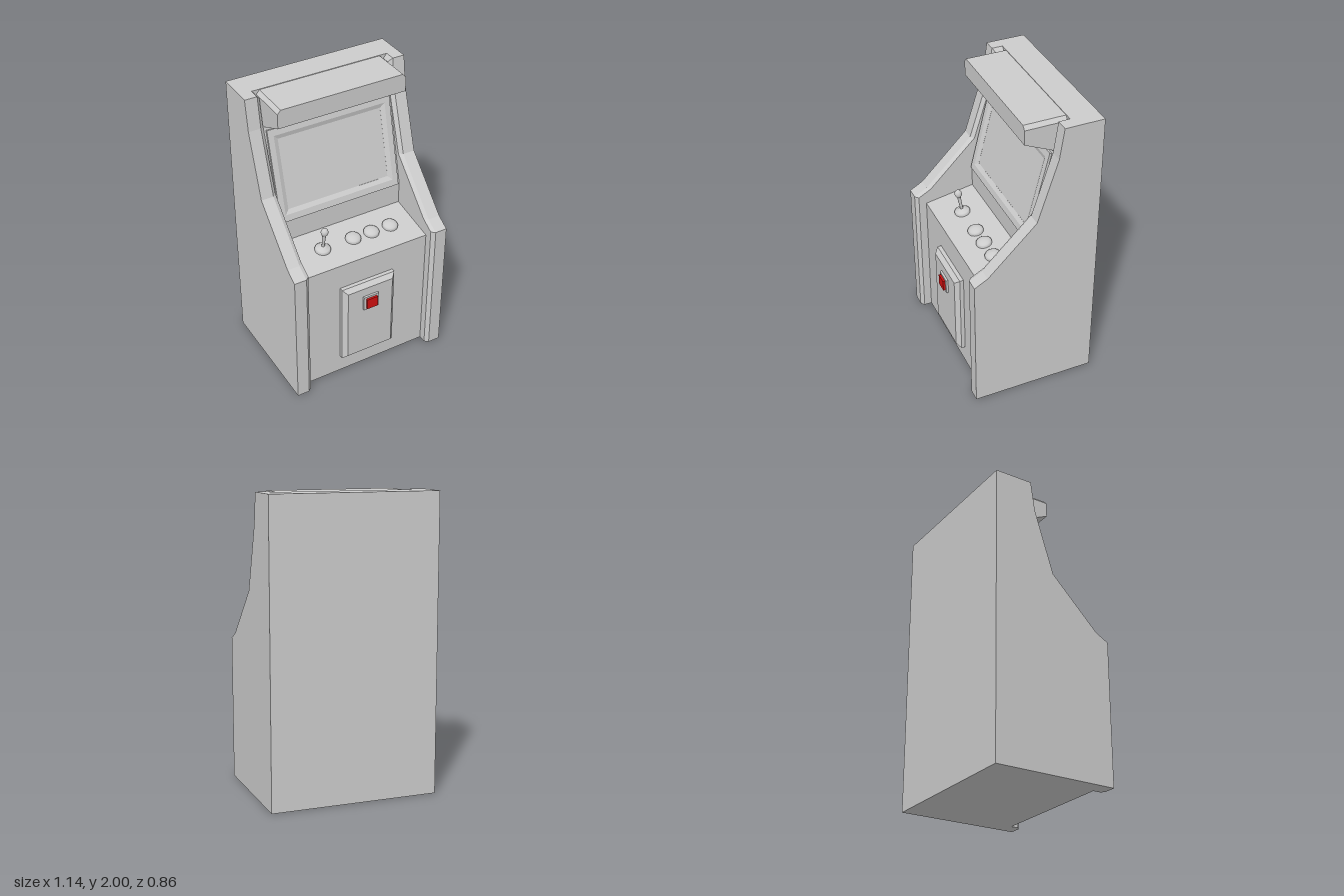
import * as THREE from 'three';

const grey = new THREE.MeshStandardMaterial({ color: 0xcccccc });
const red = new THREE.MeshStandardMaterial({ color: 0xd01010 });

function add(parent, name, geometry, x = 0, y = 0, z = 0, material = grey) {
  const mesh = new THREE.Mesh(geometry, material);
  mesh.name = name;
  mesh.position.set(x, y, z);
  parent.add(mesh);
  return mesh;
}

const polygon = (points) => new THREE.Shape(points.map(([a, b]) => new THREE.Vector2(a, b)));
const rectangle = (hw, hh) => polygon([[-hw, -hh], [hw, -hh], [hw, hh], [-hw, hh]]);

// Extrudes a (z, y) profile across the width, starting at x = right and going to -x
function acrossWidth(profile, right, width, steps = 1) {
  const g = new THREE.ExtrudeGeometry(polygon(profile), { depth: width, steps, bevelEnabled: false });
  return g.rotateY(-Math.PI / 2).translate(right, 0, 0);
}

// Moves every vertex by a rule and restores flat normals
function reshape(g, rule) {
  const p = g.attributes.position;
  const v = new THREE.Vector3();
  for (let i = 0; i < p.count; i++) {
    v.fromBufferAttribute(p, i);
    rule(v);
    p.setXYZ(i, v.x, v.y, v.z);
  }
  g.computeVertexNormals();
  return g;
}

// Side panel with a chamfer along its inner front edge
function sidePanelGeometry() {
  const profile = [[-0.43, 0], [0.42, 0], [0.42, 0.98], [0.33, 1.03], [0, 1.36],
    [-0.135, 1.79], [-0.165, 2], [-0.43, 2]];
  return reshape(acrossWidth(profile, 0.57, 0.11, 2), (v) => {
    if (v.x < 0.47) {
      if (v.z > -0.4) v.z -= 0.022;
      if (v.y > 1.99) v.y -= 0.03;
    } else if (v.x < 0.56) v.x = 0.485;
  });
}

// Screen frame: straight outer sides, opening sloping in towards the glass
function bezelGeometry() {
  const hw = 0.445, hh = 0.319;
  const shape = rectangle(hw, hh);
  shape.holes.push(rectangle(0.405, 0.273));
  const g = new THREE.ExtrudeGeometry(shape, {
    depth: 0.03, bevelSize: 0.03, bevelThickness: 0.014, bevelSegments: 1,
  });
  return reshape(g, (v) => {
    v.x = THREE.MathUtils.clamp(v.x, -hw, hw);
    v.y = THREE.MathUtils.clamp(v.y, -hh, hh);
  });
}

// Marquee: chamfered top corners and an underside rising to the front
function marqueeGeometry() {
  const shape = polygon([[-0.455, 1.77], [0.455, 1.77], [0.455, 1.97], [0.432, 1.996],
    [-0.432, 1.996], [-0.455, 1.97]]);
  const g = new THREE.ExtrudeGeometry(shape, { depth: 0.28, steps: 2, bevelEnabled: false });
  return reshape(g.translate(0, 0, -0.24), (v) => {
    if (v.z > 0) {
      if (v.y < 1.8) v.y = 1.87;
    } else if (v.z > -0.2) v.z = -0.18;
  });
}

const lathe = (points) =>
  new THREE.LatheGeometry(points.map(([r, y]) => new THREE.Vector2(r, y)), 32);

export function createModel() {
  const model = new THREE.Group();
  model.name = 'arcadeCabinet';

  // Cabinet shell
  const sideGeometry = sidePanelGeometry();
  add(model, 'leftSidePanel', sideGeometry);
  add(model, 'rightSidePanel', sideGeometry).scale.x = -1;
  add(model, 'backBox', new THREE.BoxGeometry(0.972, 2, 0.19), 0, 1, -0.335);
  add(model, 'body', acrossWidth([[-0.3, 0], [0.345, 0], [0.345, 0.92], [0, 0.98],
    [0, 1.14], [-0.155, 1.78], [-0.3, 1.78]], 0.465, 0.93));
  add(model, 'marquee', marqueeGeometry());

  // Screen, leaning back
  const display = new THREE.Group();
  display.name = 'display';
  display.position.set(0, 1.45, -0.06);
  display.rotation.x = -0.237;
  model.add(display);
  add(display, 'screenBezel', bezelGeometry(), 0, 0, -0.044);
  add(display, 'screen', new THREE.BoxGeometry(0.77, 0.5, 0.02), 0, 0, -0.025);

  // Controls on the sloping console
  const controls = new THREE.Group();
  controls.name = 'controls';
  controls.position.set(0, 0.95, 0.17);
  controls.rotation.x = 0.172;
  model.add(controls);
  const buttonGeometry = lathe([[0.053, -0.01], [0.053, 0.012], [0.047, 0.02],
    [0.036, 0.028], [0.02, 0.033], [0, 0.035]]);
  [0, 0.14, 0.285].forEach((x, i) => add(controls, `button${i + 1}`, buttonGeometry, x));

  // Joystick
  const stick = new THREE.Group();
  stick.name = 'joystick';
  stick.position.x = -0.23;
  controls.add(stick);
  add(stick, 'joystickBase', lathe([[0.053, -0.01], [0.053, 0.012], [0.045, 0.02],
    [0.027, 0.026], [0.02, 0.034], [0, 0.036]]));
  add(stick, 'joystickShaft', new THREE.CylinderGeometry(0.013, 0.009, 0.14, 20), 0, 0.09, 0);
  add(stick, 'joystickKnob', new THREE.SphereGeometry(0.025, 24, 16), 0, 0.163, 0).scale.y = 1.2;

  // Coin door with bevelled front
  add(model, 'coinDoor', new THREE.ExtrudeGeometry(rectangle(0.17, 0.2725), {
    depth: 0.05, bevelSize: 0.03, bevelThickness: 0.028, bevelSegments: 1,
  }), 0, 0.4325, 0.322);
  add(model, 'coinPlate', new THREE.BoxGeometry(0.114, 0.106, 0.03), 0, 0.588, 0.4);
  add(model, 'coinButton', new THREE.BoxGeometry(0.08, 0.078, 0.03), 0, 0.588, 0.415, red);

  return model;
}
